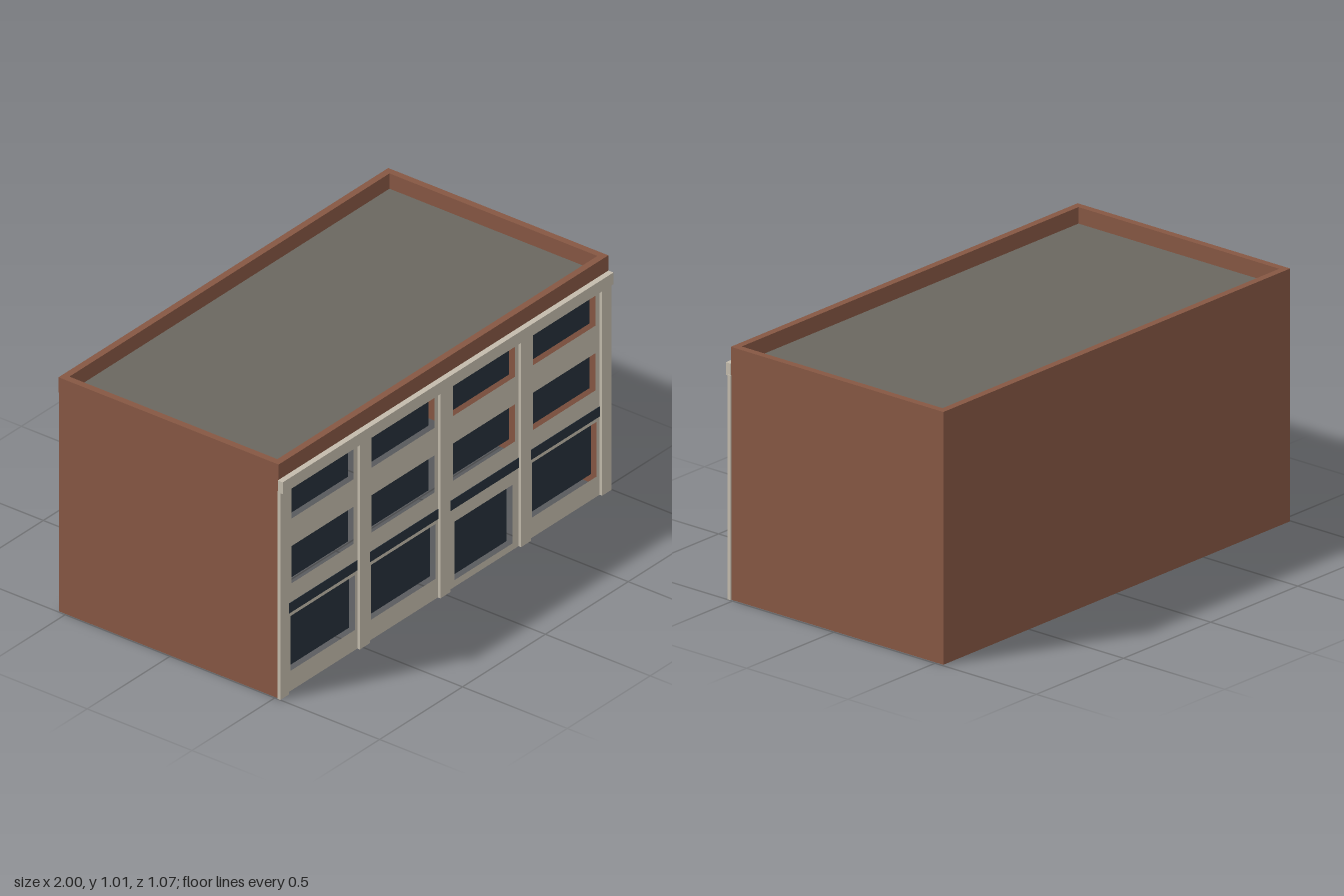
import * as THREE from 'three';

const brick = new THREE.MeshStandardMaterial({ name: 'brick', color: 0x865743, side: THREE.DoubleSide });
const stone = new THREE.MeshStandardMaterial({ name: 'stone', color: 0xc3bbac, side: THREE.DoubleSide });
const glass = new THREE.MeshStandardMaterial({ name: 'darkGlass', color: 0x25303a, side: THREE.DoubleSide });
const roofing = new THREE.MeshStandardMaterial({ name: 'roofing', color: 0x6a675f, side: THREE.DoubleSide });

// Outline of the building shell
const X0 = -0.995, X1 = 0.992, Z0 = -0.534, Z1 = 0.514;
const EAVES = 0.947, TOP = 1.013, PARAPET = 0.028, RECESS = 0.028;
const CX = (X0 + X1) / 2, CZ = (Z0 + Z1) / 2, W = X1 - X0, D = Z1 - Z0;

function add(parent, name, geometry, material, x = 0, y = 0, z = 0) {
  const mesh = new THREE.Mesh(geometry, material);
  mesh.name = name;
  mesh.position.set(x, y, z);
  parent.add(mesh);
  return mesh;
}

// Box given by its limits
function block(parent, name, material, x0, x1, y0, y1, z0, z1) {
  return add(parent, name, new THREE.BoxGeometry(x1 - x0, y1 - y0, z1 - z0), material,
    (x0 + x1) / 2, (y0 + y1) / 2, (z0 + z1) / 2);
}

function rectangle(Type, x0, x1, y0, y1) {
  const path = new Type();
  path.moveTo(x0, y0);
  path.lineTo(x1, y0);
  path.lineTo(x1, y1);
  path.lineTo(x0, y1);
  path.closePath();
  return path;
}

export function createModel() {
  const building = new THREE.Group();
  building.name = 'building';

  // Hollow brick shell, open underneath
  const walls = new THREE.Group();
  walls.name = 'walls';
  building.add(walls);
  add(walls, 'backWall', new THREE.PlaneGeometry(W, EAVES), brick, CX, EAVES / 2, Z0).rotation.y = Math.PI;
  add(walls, 'leftWall', new THREE.PlaneGeometry(D, EAVES), brick, X1, EAVES / 2, CZ).rotation.y = Math.PI / 2;
  add(walls, 'rightWall', new THREE.PlaneGeometry(D, EAVES), brick, X0, EAVES / 2, CZ).rotation.y = -Math.PI / 2;

  // Flat roof inside a brick parapet
  add(building, 'roof', new THREE.PlaneGeometry(W, D), roofing, CX, EAVES, CZ).rotation.x = -Math.PI / 2;
  const e = 0.001;
  const ring = rectangle(THREE.Shape, X0 - e, X1 + e, -Z1 - e, -Z0 + e);
  ring.holes.push(rectangle(THREE.Path, X0 + PARAPET, X1 - PARAPET, -Z1 + PARAPET, -Z0 - PARAPET));
  add(building, 'parapet', new THREE.ExtrudeGeometry(ring, { depth: TOP - EAVES, bevelEnabled: false }),
    brick, 0, EAVES, 0).rotation.x = -Math.PI / 2;

  // Openings: two upper storeys per bay, then shop windows and a door
  const openings = [];
  for (const [x0, x1] of [[-0.917, -0.542], [-0.433, -0.055], [0.056, 0.43], [0.539, 0.917]]) {
    openings.push(['upperWindow', x0, x1, 0.743, 0.903], ['middleWindow', x0, x1, 0.463, 0.624]);
  }
  for (const [x0, x1] of [[-0.922, -0.534], [-0.438, -0.047], [0.534, 0.924]]) {
    openings.push(['shopWindow', x0, x1, 0.087, 0.324]);
  }
  openings.push(['door', 0.065, 0.416, 0.029, 0.282]);

  // Thin stone front with the openings cut out, panes set back behind it
  const front = rectangle(THREE.Shape, X0, X1, 0, EAVES);
  for (const [name, x0, x1, y0, y1] of openings) {
    front.holes.push(rectangle(THREE.Path, x0, x1, y0, y1));
    add(building, name, new THREE.PlaneGeometry(x1 - x0, y1 - y0), glass,
      (x0 + x1) / 2, (y0 + y1) / 2, Z1 - RECESS);
  }
  add(building, 'facade', new THREE.ShapeGeometry(front), stone, 0, 0, Z1);

  // Pilasters, with a dark sign band across each bay between them
  const pilasters = [[-1, -0.946], [-0.52, -0.459], [-0.034, 0.027], [0.453, 0.514], [0.942, 0.998]];
  pilasters.forEach(([x0, x1], i) => {
    block(building, 'pilaster', stone, x0, x1, 0, 0.9, Z1 - 0.001, 0.526);
    if (i > 0) block(building, 'signBand', glass, pilasters[i - 1][1], x0, 0.34, 0.383, Z1, Z1 + 0.002);
  });

  // Cornice
  block(building, 'cornice', stone, -1, 0.995, 0.895, 0.946, Z1, 0.538);

  return building;
}
